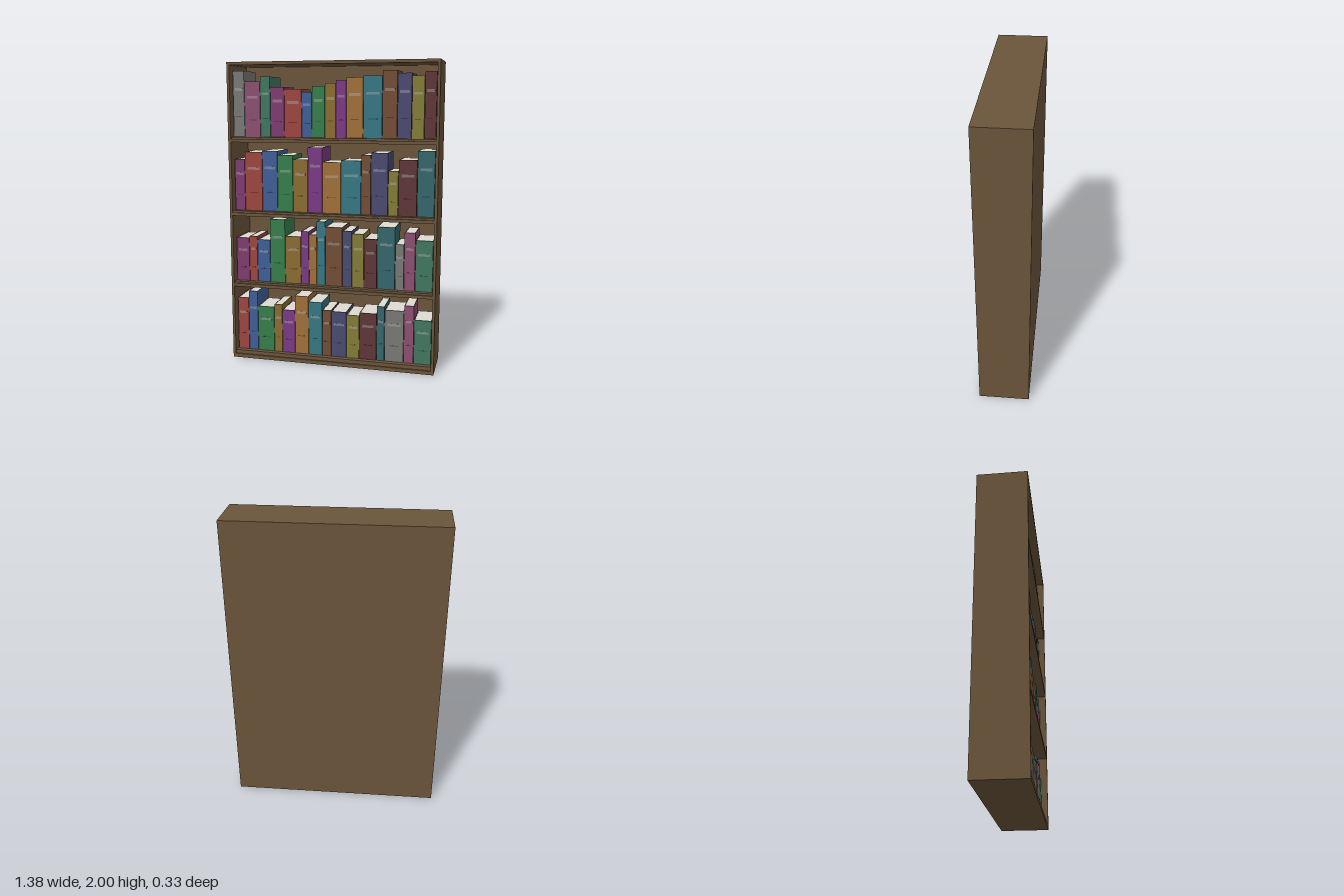
import * as THREE from 'three';

const W = 1.38, H = 2, D = 0.33;      // case size
const SIDE = 0.018;                   // panel thickness
const BOOK_FRONT = 0.12, BOOK_DEPTH = 0.22;

const wood = new THREE.MeshStandardMaterial({ color: 0x6b543a });
const paper = new THREE.MeshStandardMaterial({ color: 0xdedbd2 });

// Cover colours repeat in this order from the bottom shelf upwards
const covers = [
  0x9c463f, 0x3f5f96, 0x367d4a, 0x8a6c30, 0x793a82, 0xa06f38, 0x357682, 0x704d35,
  0x494a70, 0x827b36, 0x5f3538, 0x35666a, 0x777775, 0x8c4f70, 0x417560, 0x7d3b70,
].map((c) => {
  const color = new THREE.Color(c);
  return {
    cover: new THREE.MeshStandardMaterial({ color }),
    band: new THREE.MeshStandardMaterial({ color: color.clone().lerp(new THREE.Color(0xffffff), 0.12) }),
    label: new THREE.MeshStandardMaterial({ color: color.clone().multiplyScalar(0.5) }),
  };
});

// Shelf rows, bottom to top: height of the shelf top, book widths, book heights
const rows = [
  {
    y: 0.05,
    w: [.079, .066, .117, .058, .09, .095, .095, .064, .103, .087, .117, .053, .127, .066, .114],
    h: [.366, .416, .313, .334, .299, .403, .368, .318, .313, .297, .318, .371, .35, .389, .297],
  },
  {
    y: 0.54,
    w: [.093, .058, .09, .106, .109, .056, .053, .058, .117, .064, .079, .087, .119, .058, .072, .114],
    h: [.297, .31, .289, .432, .321, .358, .339, .429, .395, .374, .358, .328, .411, .302, .381, .334],
  },
  {
    y: 1.027,
    w: [.072, .122, .106, .106, .101, .098, .125, .132, .064, .111, .066, .119, .111],
    h: [.342, .392, .4, .374, .347, .427, .334, .347, .384, .4, .286, .358, .416],
  },
  {
    y: 1.518,
    w: [.079, .109, .069, .095, .117, .069, .085, .072, .069, .109, .122, .095, .09, .079, .074],
    h: [.427, .358, .389, .323, .31, .289, .328, .344, .363, .379, .389, .421, .403, .387, .411],
  },
];

function box(parent, name, mat, w, h, d, x, y, z) {
  const mesh = new THREE.Mesh(new THREE.BoxGeometry(w, h, d), mat);
  mesh.name = name;
  mesh.position.set(x, y, z);
  parent.add(mesh);
}

// A book standing on its origin, spine towards +z
function makeBook(w, h, { cover, band, label }) {
  const book = new THREE.Group();
  const board = 0.004, spine = 0.008;
  const depth = BOOK_DEPTH - spine;
  box(book, 'spine', cover, w, h, spine, 0, h / 2, -spine / 2);
  for (const s of [-1, 1])
    box(book, 'coverBoard', cover, board, h, depth, s * (w - board) / 2, h / 2, -spine - depth / 2);
  box(book, 'pages', paper, w - 2 * board, h - 0.004, depth - 0.004, 0, h / 2, -spine - depth / 2 + 0.002);
  box(book, 'spineBand', band, w * 0.7, 0.017, 0.002, 0, h * 0.72, 0);
  box(book, 'spineLabel', label, w * 0.5, 0.005, 0.002, 0, h * 0.31, 0);
  return book;
}

export function createModel() {
  const model = new THREE.Group();
  model.name = 'bookcase';

  // Outer case
  const frame = new THREE.Group();
  frame.name = 'case';
  model.add(frame);
  const inner = W - 2 * SIDE;
  for (const s of [-1, 1])
    box(frame, 'sidePanel', wood, SIDE, H, D, s * (W - SIDE) / 2, H / 2, 0);
  box(frame, 'topPanel', wood, inner, 0.02, D, 0, H - 0.01, 0);
  box(frame, 'bottomPanel', wood, inner, 0.025, D, 0, 0.0125, 0);
  box(frame, 'backPanel', wood, inner, H - 0.045, 0.02, 0, 1.0025, -D / 2 + 0.01);

  // Shelves with a flush front strip, and the books standing on them
  let count = 0;
  rows.forEach(({ y, w, h }, r) => {
    const t = r === 0 ? 0.025 : 0.034;
    box(frame, 'shelf', wood, inner, t, D - 0.03, 0, y - t / 2, 0.005);
    if (r > 0) box(frame, 'shelfFrontStrip', wood, inner, 0.021, 0.01, 0, y - t + 0.0105, D / 2 - 0.005);

    const books = new THREE.Group();
    books.name = 'bookRow';
    model.add(books);
    const scale = 1.334 / w.reduce((a, b) => a + b, 0);
    let x = -0.667;
    w.forEach((width, i) => {
      const bw = width * scale;
      const book = makeBook(bw - 0.003, h[i], covers[count++ % covers.length]);
      book.name = 'book';
      book.position.set(x + bw / 2, y, BOOK_FRONT);
      books.add(book);
      x += bw;
    });
  });
  return model;
}
